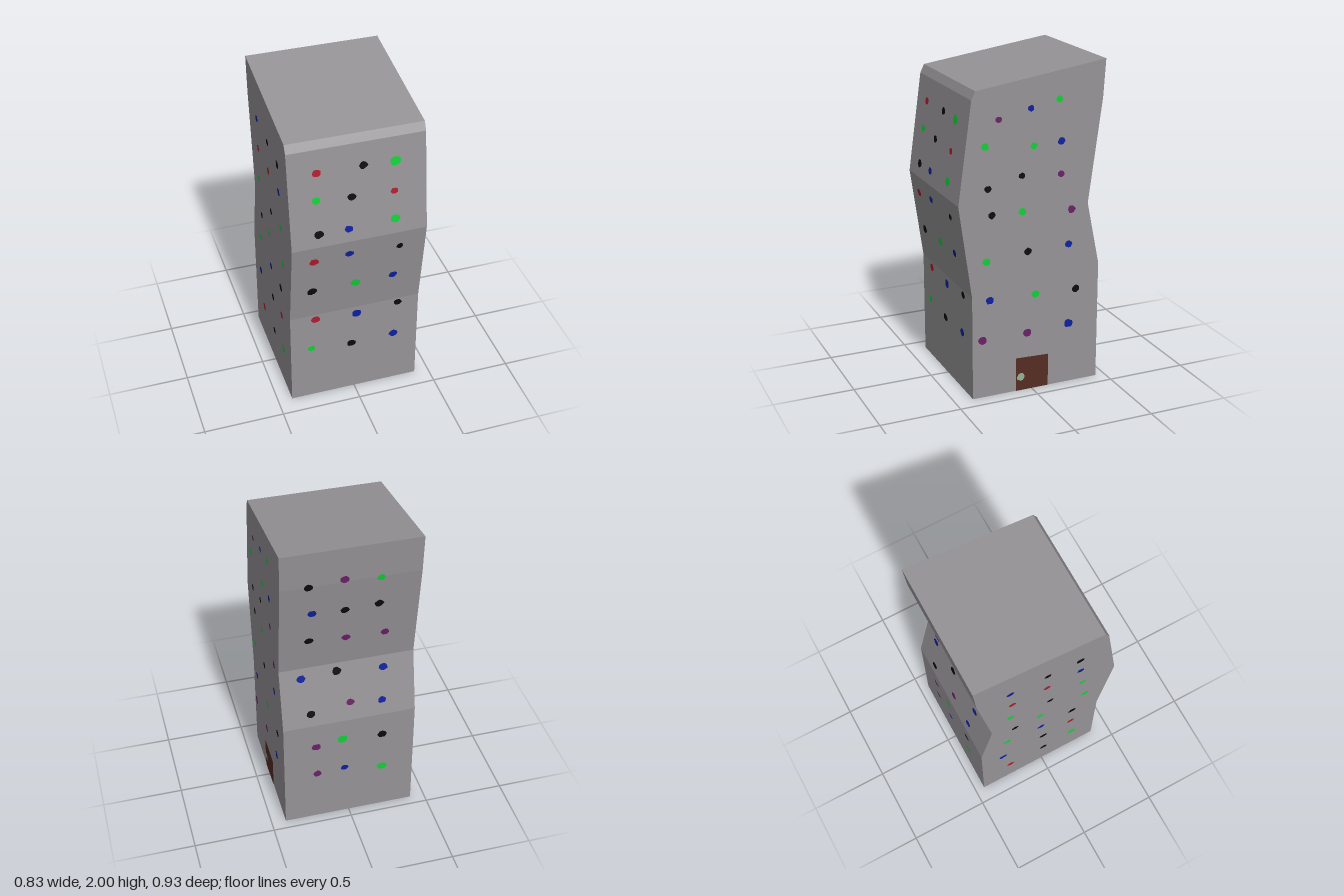
import * as THREE from 'three';

const mat = (name, color) => {
  const m = new THREE.MeshStandardMaterial({ color });
  m.name = name;
  return m;
};

export function createModel() {
  const group = new THREE.Group();
  const wall = mat('wallGrey', 0x969396);
  const brown = mat('doorBrown', 0x562c22);
  const knobGreen = mat('knobPaleGreen', 0x92b494);
  const paint = {
    k: mat('windowBlack', 0x0b0b0c),
    r: mat('windowRed', 0xb01c2e),
    g: mat('windowGreen', 0x10d038),
    b: mat('windowBlue', 0x0c20a0),
    p: mat('windowPurple', 0x6a2068),
  };

  // Bent tower: side profile (z, y) swept across x
  const HALF = 0.41;
  const front = [[0.385, 0], [0.385, 0.65], [0.465, 1.22], [0.38, 1.83], [0.355, 1.88]];
  const back = [[-0.44, 0], [-0.44, 0.75], [-0.36, 1.14], [-0.445, 1.77], [-0.46, 2]];
  const profile = new THREE.Shape(
    [...front, ...[...back].reverse()].map(([z, y]) => new THREE.Vector2(z, y)));
  const body = new THREE.ExtrudeGeometry(profile, { depth: HALF * 2, bevelEnabled: false });
  body.translate(0, 0, -HALF).rotateY(-Math.PI / 2);
  const tower = new THREE.Mesh(body, wall);
  tower.name = 'tower';
  group.add(tower);

  let seed = 7;
  const rand = () => (seed = (seed * 16807) % 2147483647) / 2147483647;

  // Slightly irregular painted blob
  const blob = (rx, ry) => {
    const pts = [];
    for (let i = 0; i < 12; i++) {
      const a = (i / 12) * Math.PI * 2, s = 0.88 + 0.24 * rand();
      pts.push(new THREE.Vector2(Math.cos(a) * rx * s, Math.sin(a) * ry * s));
    }
    return new THREE.ShapeGeometry(new THREE.Shape(pts));
  };

  // Lays a flat geometry on a wall with the given up direction and normal
  const place = (name, geo, material, pos, up, normal, lift = 0.003) => {
    const mesh = new THREE.Mesh(geo, material);
    const right = new THREE.Vector3().crossVectors(up, normal);
    mesh.quaternion.setFromRotationMatrix(new THREE.Matrix4().makeBasis(right, up, normal));
    mesh.position.copy(pos).addScaledVector(normal, lift);
    mesh.name = name;
    group.add(mesh);
  };

  // Each wall: rows of [colour, across, y]
  const windows = {
    front: [
      ['r', -0.24, 1.69], ['k', 0.035, 1.69], ['g', 0.225, 1.68, 1.25],
      ['g', -0.25, 1.52], ['k', -0.04, 1.505], ['r', 0.215, 1.495, 0.85],
      ['k', -0.245, 1.305, 1.1], ['b', -0.065, 1.305], ['g', 0.215, 1.315, 1.15],
      ['r', -0.275, 1.11, 1.1], ['b', -0.06, 1.125], ['k', 0.25, 1.11, 0.85],
      ['k', -0.28, 0.865, 1.15], ['g', -0.01, 0.87, 1.15], ['b', 0.225, 0.875],
      ['r', -0.25, 0.615, 1.1], ['b', 0.01, 0.6, 1.15], ['k', 0.275, 0.62],
      ['g', -0.28, 0.39, 0.9], ['k', -0.02, 0.365, 1.1], ['b', 0.255, 0.373, 1.15],
    ],
    back: [
      ['k', 0.245, 1.77], ['p', 0.04, 1.79], ['g', -0.17, 1.765, 0.9],
      ['b', 0.22, 1.57], ['k', 0.03, 1.56], ['k', -0.17, 1.57, 1.1],
      ['k', 0.235, 1.36], ['p', 0.015, 1.34], ['p', -0.22, 1.335],
      ['b', 0.28, 1.075], ['k', 0.065, 1.09, 1.1], ['b', -0.22, 1.065, 1.1],
      ['k', 0.235, 0.835], ['p', -0.01, 0.87], ['b', -0.205, 0.85],
      ['p', 0.21, 0.58, 1.1], ['g', 0.045, 0.61, 1.2], ['k', -0.205, 0.59, 1.1],
      ['p', 0.205, 0.36], ['b', 0.03, 0.37, 0.9], ['g', -0.21, 0.325, 1.15],
    ],
    left: [
      ['p', 0.215, 1.705, 0.85], ['b', 0.015, 1.752, 0.85], ['g', -0.165, 1.79, 0.9],
      ['g', 0.302, 1.555, 0.95], ['g', -0.005, 1.53, 0.9], ['b', -0.18, 1.54, 0.95],
      ['k', 0.283, 1.305, 0.9], ['k', 0.07, 1.36, 0.85], ['p', -0.18, 1.343, 0.9],
      ['k', 0.26, 1.143, 0.95], ['g', 0.067, 1.143], ['p', -0.253, 1.117, 1.05],
      ['g', 0.295, 0.865], ['k', 0.03, 0.892], ['b', -0.237, 0.9],
      ['b', 0.275, 0.62, 1.05], ['g', -0.02, 0.613, 1.05], ['k', -0.29, 0.608, 1.05],
      ['p', 0.322, 0.372, 1.1], ['p', 0.032, 0.372, 1.1], ['b', -0.243, 0.388, 1.2],
    ],
    right: [
      ['b', -0.237, 1.7], ['k', 0, 1.68, 0.9], ['k', 0.21, 1.66, 1.1],
      ['r', -0.225, 1.5], ['r', 0, 1.48], ['b', 0.22, 1.48],
      ['g', -0.237, 1.275], ['k', 0.03, 1.21, 0.85], ['g', 0.245, 1.24],
      ['k', -0.205, 1.02, 0.9], ['g', -0.035, 1], ['g', 0.275, 0.99],
      ['g', -0.26, 0.81], ['b', -0.02, 0.76], ['k', 0.2, 0.76, 1.1],
      ['b', -0.29, 0.52, 1.1], ['k', 0, 0.525, 1.1], ['r', 0.2, 0.54],
      ['r', -0.237, 0.255, 1.1], ['k', 0.01, 0.255], ['g', 0.22, 0.28, 1.2],
    ],
  };
  const UP = new THREE.Vector3(0, 1, 0);
  for (const [side, list] of Object.entries(windows)) {
    for (const [colour, across, y, size = 1] of list) {
      let pos, up = UP, normal, rx = 0.026;
      if (side === 'front' || side === 'back') {
        // Follow the slope of the bent wall at this height
        const edge = side === 'front' ? front : back;
        const i = edge.findIndex((p, n) => n > 0 && y <= p[1]);
        const [z0, y0] = edge[i - 1], [z1, y1] = edge[i];
        pos = new THREE.Vector3(across, y, z0 + (z1 - z0) * (y - y0) / (y1 - y0));
        up = new THREE.Vector3(0, y1 - y0, z1 - z0).normalize();
        normal = new THREE.Vector3(side === 'front' ? 1 : -1, 0, 0).cross(up);
      } else {
        const s = side === 'left' ? 1 : -1;
        pos = new THREE.Vector3(s * HALF, y, across);
        normal = new THREE.Vector3(s, 0, 0);
        rx = 0.024;
      }
      place(side + 'Window', blob(rx * size, 0.0225 * size), paint[colour], pos, up, normal);
    }
  }

  // Door and knob on the left wall
  const leftward = new THREE.Vector3(1, 0, 0);
  const door = new THREE.Shape([[-0.105, 0], [0.11, 0], [0.108, 0.208], [-0.105, 0.216]]
    .map(([x, y]) => new THREE.Vector2(x, y)));
  place('door', new THREE.ShapeGeometry(door), brown,
    new THREE.Vector3(HALF, 0, 0), UP, leftward, 0.002);
  place('doorKnob', blob(0.026, 0.025), knobGreen,
    new THREE.Vector3(HALF, 0.088, 0.072), UP, leftward, 0.004);

  return group;
}
